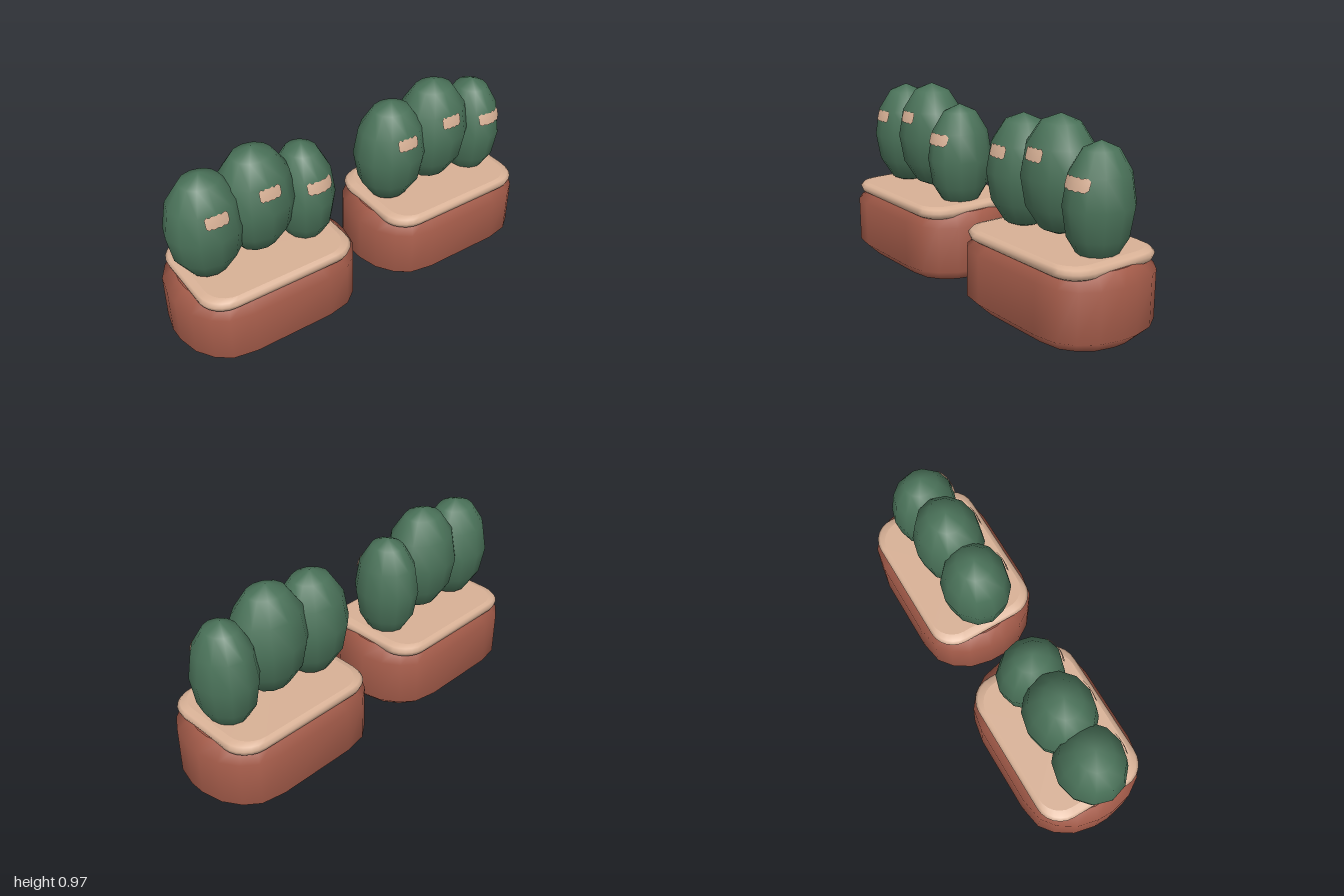
import * as THREE from 'three';

const clay = new THREE.MeshStandardMaterial({ color: 0xa55c4a });
clay.name = 'terracotta';
const sand = new THREE.MeshStandardMaterial({ color: 0xd8b196, side: THREE.DoubleSide });
sand.name = 'sand';
const green = new THREE.MeshStandardMaterial({ color: 0x4a7259 });
green.name = 'cactus green';

// Mirrors a quarter outline (end to front, as [x, z]) into a closed loop
function fullOutline(q) {
  const r = [...q].reverse();
  return [
    ...q,
    ...r.map(([x, z]) => [-x, z]),
    ...q.map(([x, z]) => [-x, -z]),
    ...r.map(([x, z]) => [x, -z]),
  ];
}

// Stacks scaled copies of an outline; rings are [y, scaleX, scaleZ]. Caps stay crisp.
function loft(outline, rings) {
  const n = outline.length, pos = [], idx = [];
  const addRing = ([y, sx, sz]) => outline.forEach(([x, z]) => pos.push(x * sx, y, z * sz));
  rings.forEach(addRing);
  for (let i = 0; i < rings.length - 1; i++) {
    for (let j = 0; j < n; j++) {
      const a = i * n + j, b = i * n + (j + 1) % n;
      idx.push(a, a + n, b, b, a + n, b + n);
    }
  }
  [rings[0], rings[rings.length - 1]].forEach((ring, top) => {
    const start = pos.length / 3;
    addRing(ring);
    pos.push(0, ring[0], 0);
    for (let j = 0; j < n; j++) {
      const a = start + j, b = start + (j + 1) % n;
      idx.push(start + n, top ? b : a, top ? a : b);
    }
  });
  const g = new THREE.BufferGeometry();
  g.setAttribute('position', new THREE.Float32BufferAttribute(pos, 3));
  g.setIndex(idx);
  g.computeVertexNormals();
  return g;
}

function mesh(name, geometry, material) {
  const m = new THREE.Mesh(geometry, material);
  m.name = name;
  return m;
}

// Ragged patch wrapped on the front of an ellipsoid
function patchGeometry({ x, y, rx, ry, rz, px, pw }) {
  const g = new THREE.PlaneGeometry(pw, 0.058, 10, 4);
  const p = g.attributes.position;
  for (let i = 0; i < p.count; i++) {
    const col = i % 11;
    const u = p.getX(i) + px;
    const ragged = 1 + 0.12 * Math.sin(col * 2.4) - (col === 0 || col === 10 ? 0.3 : 0);
    const v = p.getY(i) * ragged + 0.115;
    const z = rz * Math.sqrt(Math.max(0, 1 - (u / rx) ** 2 - (v / ry) ** 2));
    p.setXYZ(i, x + u, y + v, z + 0.002);
  }
  g.computeVertexNormals();
  return g;
}

function createPlanter() {
  const planter = new THREE.Group();

  // Pot with chamfered foot and shoulder
  const potOutline = fullOutline([
    [0.475, 0.04], [0.45, 0.15], [0.395, 0.235], [0.325, 0.29], [0.205, 0.312],
  ]);
  planter.add(mesh('pot', loft(potOutline, [
    [0, 0.874, 0.81], [0.06, 1, 1], [0.3, 1, 1], [0.36, 0.874, 0.81],
  ]), clay));

  // Rounded sand slab
  const corner = [];
  for (let i = 0; i <= 6; i++) {
    const a = (i / 6) * Math.PI / 2;
    corner.push([0.28 + 0.13 * Math.cos(a), 0.153 + 0.13 * Math.sin(a)]);
  }
  planter.add(mesh('sandTop', loft(fullOutline(corner), [
    [0.33, 0.93, 0.89], [0.345, 0.98, 0.97], [0.37, 1, 1], [0.386, 0.97, 0.96], [0.395, 0.89, 0.9],
  ]), sand));

  // Three cactus lobes, each with a patch on its front
  const lobes = [
    { name: 'outerCactus', x: -0.265, y: 0.65, rx: 0.193, ry: 0.283, rz: 0.172, px: -0.003, pw: 0.115 },
    { name: 'middleCactus', x: 0, y: 0.686, rx: 0.2, ry: 0.285, rz: 0.175, px: 0, pw: 0.11 },
    { name: 'smallCactus', x: 0.26, y: 0.612, rx: 0.155, ry: 0.283, rz: 0.173, px: 0.01, pw: 0.14 },
  ];
  for (const lobe of lobes) {
    const body = mesh(lobe.name, new THREE.SphereGeometry(1, 12, 6), green);
    body.position.set(lobe.x, lobe.y, 0);
    body.scale.set(lobe.rx, lobe.ry, lobe.rz);
    planter.add(body, mesh(lobe.name + 'Patch', patchGeometry(lobe), sand));
  }
  return planter;
}

export function createModel() {
  const model = new THREE.Group();
  model.name = 'cactusPlanters';
  [['rightPlanter', -0.525], ['leftPlanter', 0.525]].forEach(([name, x]) => {
    const planter = createPlanter();
    planter.name = name;
    planter.position.x = x;
    model.add(planter);
  });
  return model;
}
